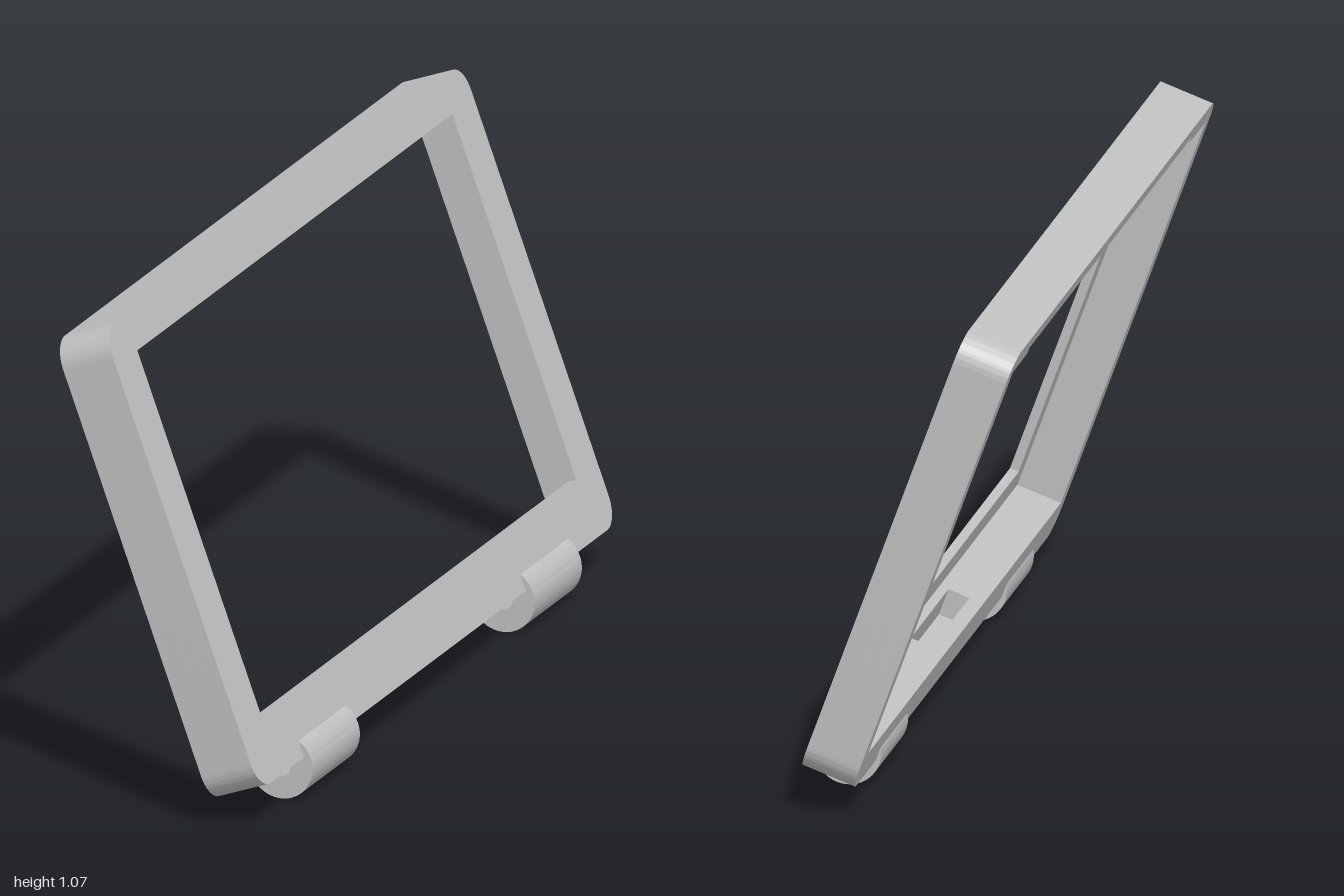
import * as THREE from 'three';
import { toCreasedNormals } from 'three/addons/utils/BufferGeometryUtils.js';

const HEIGHT = 1.037, RADIUS = 0.06;

// Rounded outer outline; optional pin grooves cut into the bottom edge
function outline(groove) {
  const s = new THREE.Shape(), r = RADIUS;
  s.moveTo(-1 + r, 0);
  if (groove > 0) {
    for (const [a, b] of [[-0.765, -0.365], [0.365, 0.765]]) {
      s.lineTo(a, 0);
      s.lineTo(a, groove);
      s.lineTo(b, groove);
      s.lineTo(b, 0);
    }
  }
  s.lineTo(1 - r, 0);
  s.absarc(1 - r, r, r, -Math.PI / 2, 0);
  s.absarc(1 - r, HEIGHT - r, r, 0, Math.PI / 2);
  s.absarc(-1 + r, HEIGHT - r, r, Math.PI / 2, Math.PI);
  s.absarc(-1 + r, r, r, Math.PI, Math.PI * 1.5);
  return s;
}

// Rectangular opening; optional pocket sunk into its lower wall
function opening(halfWidth, bottom, top, pocket) {
  const p = new THREE.Path();
  p.moveTo(-halfWidth, bottom);
  p.lineTo(-halfWidth, top);
  p.lineTo(halfWidth, top);
  p.lineTo(halfWidth, bottom);
  if (pocket) {
    p.lineTo(0.185, bottom);
    p.lineTo(0.185, bottom - pocket);
    p.lineTo(-0.185, bottom - pocket);
    p.lineTo(-0.185, bottom);
  }
  p.closePath();
  return p;
}

export function createModel() {
  const model = new THREE.Group();
  const grey = new THREE.MeshStandardMaterial({ color: 0xc0c0c0 });
  grey.name = 'greyPlastic';

  const tilted = new THREE.Group();
  tilted.name = 'tiltedFrame';
  model.add(tilted);

  function add(name, geometry, x = 0, y = 0, z = 0) {
    const mesh = new THREE.Mesh(toCreasedNormals(geometry, 0.6), grey);
    mesh.name = name;
    mesh.position.set(x, y, z);
    tilted.add(mesh);
  }

  const extrude = (shape, depth) => new THREE.ExtrudeGeometry(shape, {
    depth, bevelEnabled: false, curveSegments: 12,
  });

  // Frame walls in slices from back to front: [from, to, groove depth, pocket depth]
  const slices = [
    [0, 0.032, 0, 0],
    [0.032, 0.04, 0, 0.065],
    [0.04, 0.045, 0.008, 0.065],
    [0.045, 0.05, 0.013, 0.065],
    [0.05, 0.07, 0.017, 0.06],
    [0.07, 0.075, 0.013, 0.065],
    [0.075, 0.08, 0.008, 0.065],
    [0.08, 0.1, 0, 0],
  ];
  // keep the pocket floor level
  for (const [from, to, groove, pocket] of slices) {
    const shape = outline(groove);
    shape.holes.push(opening(0.95, 0.08, 1.005, pocket ? 0.06 : 0));
    add('frameWall', extrude(shape, to - from), 0, 0, from);
  }

  // Front bezel with the smaller window
  const bezel = outline(0);
  bezel.holes.push(opening(0.88, 0.133, 0.957, 0));
  add('frontBezel', extrude(bezel, 0.02), 0, 0, 0.1);

  for (const side of [-1, 1]) {
    // Small retaining tabs at the upper back corners
    add('cornerTab', new THREE.BoxGeometry(0.15, 0.016, 0.03), side * 0.876, 0.998, 0.0155);

    // Hinge barrels with a pin hole
    const ring = new THREE.Shape();
    ring.absarc(0, 0, 0.072, 0, Math.PI * 2);
    const hole = new THREE.Path();
    hole.absarc(0, 0, 0.022, 0, Math.PI * 2, true);
    ring.holes.push(hole);
    const barrel = new THREE.ExtrudeGeometry(ring, {
      depth: 0.265, bevelEnabled: false, curveSegments: 40,
    });
    barrel.translate(0, 0, -0.1325);
    barrel.rotateY(Math.PI / 2);
    add('hingeBarrel', barrel, side * 0.62, -0.005, 0.062);
  }

  // Lean the frame back by 20 degrees, facing +x
  const a = THREE.MathUtils.degToRad(20), c = Math.cos(a), s = Math.sin(a);
  const m = new THREE.Matrix4().makeBasis(
    new THREE.Vector3(0, 0, -1),
    new THREE.Vector3(-s, c, 0),
    new THREE.Vector3(c, s, 0),
  );
  tilted.quaternion.setFromRotationMatrix(m);
  tilted.position.set(0.111, 0.055, 0);
  return model;
}
